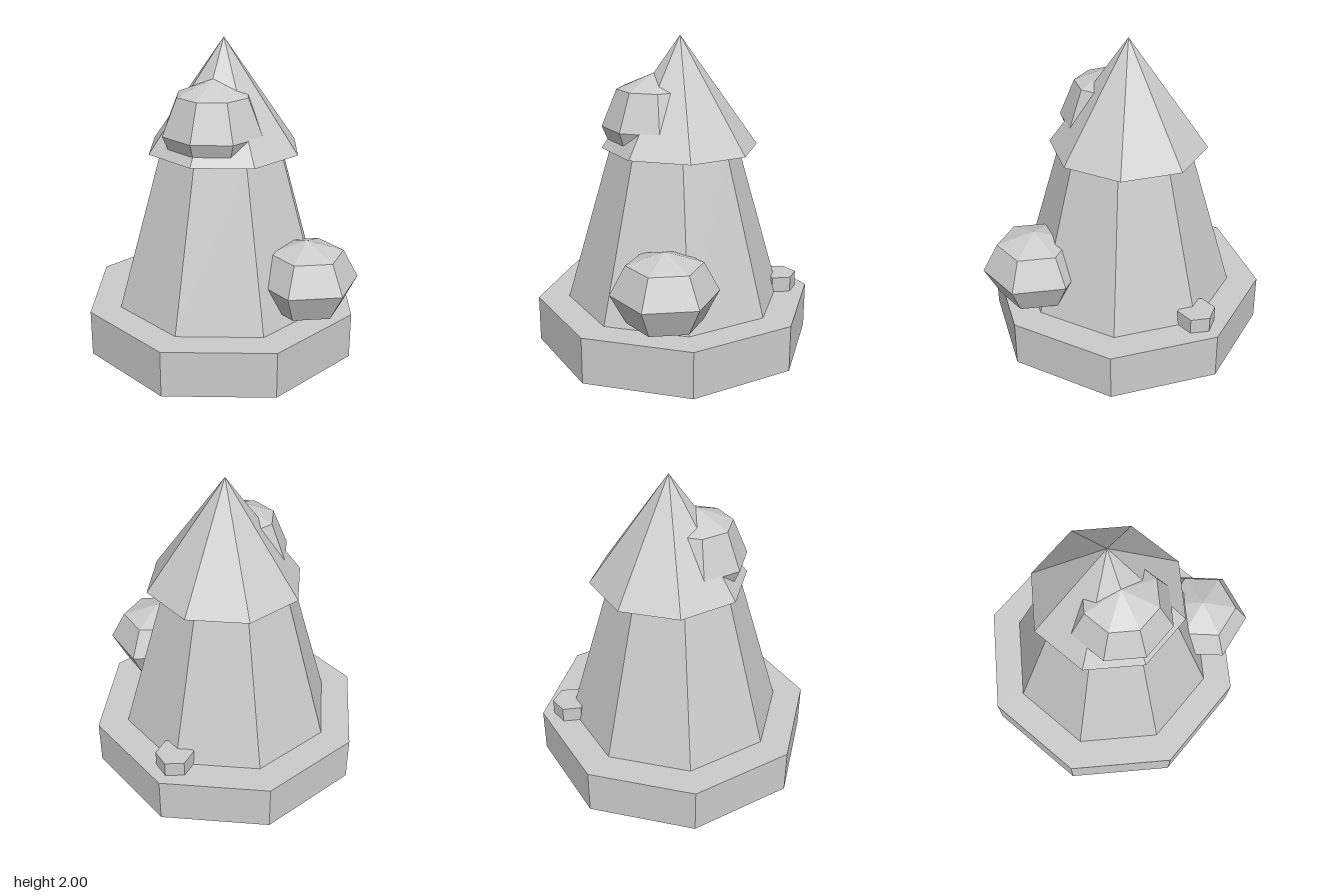
import * as THREE from 'three';

const material = new THREE.MeshStandardMaterial({ color: 0xcccccc, flatShading: true });

export function createModel() {
  const model = new THREE.Group();
  model.name = 'lowPolyTower';
  const axisX = -0.012;

  function add(name, geometry, x, y, z) {
    const mesh = new THREE.Mesh(geometry, material);
    mesh.name = name;
    mesh.position.set(x, y, z);
    model.add(mesh);
    return mesh;
  }

  // Upright prism or frustum standing on height y
  function frustum(name, topRadius, bottomRadius, height, sides, y, z) {
    return add(name, new THREE.CylinderGeometry(topRadius, bottomRadius, height, sides),
      axisX, y + height / 2, z);
  }

  // Octagonal plinth and tapering tower
  frustum('base', 0.9, 0.9, 0.3, 8, 0, 0);
  frustum('towerBody', 0.41, 0.7, 1.0, 8, 0.3, 0);

  // Pointed roof, set slightly back
  add('roof', new THREE.ConeGeometry(0.5, 0.7, 8), axisX, 1.65, -0.035);

  // Faceted dome emerging from the front of the roof
  add('roofDome', new THREE.SphereGeometry(0.33, 8, 4), axisX, 1.44, 0.13);

  // Squashed bush beside the tower
  const bush = add('bush', new THREE.SphereGeometry(0.33, 6, 4), 0.62, 0.563, 0.135);
  bush.scale.y = 0.78;
  bush.rotation.y = Math.PI / 2;

  // Small hexagonal step at the back
  frustum('backStep', 0.12, 0.12, 0.1, 6, 0.3, -0.705);

  return model;
}
